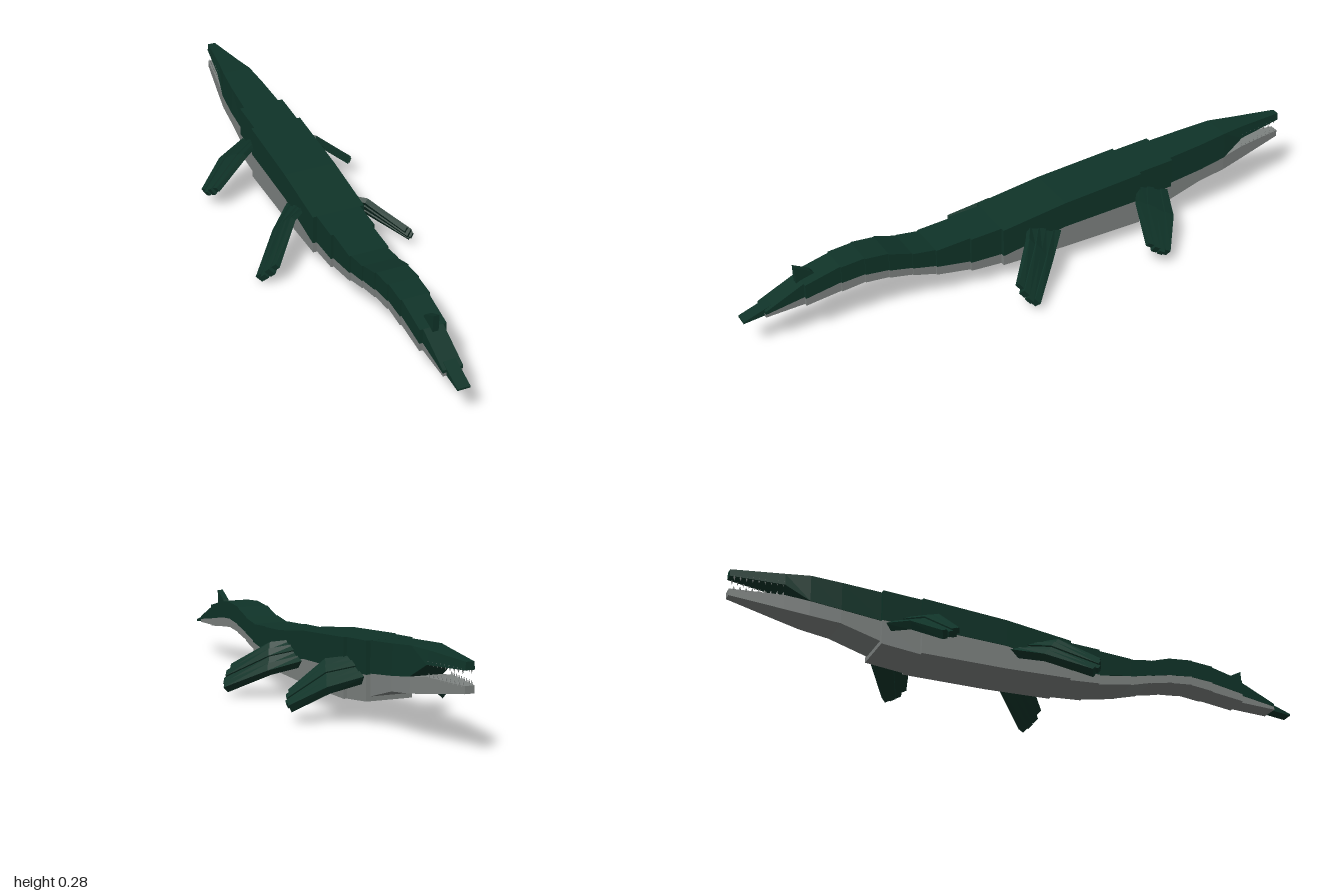
import * as THREE from 'three';

const green = new THREE.MeshStandardMaterial({ color: 0x0f3328, flatShading: true });
green.name = 'dark green skin';
const grey = new THREE.MeshStandardMaterial({ color: 0x7d8280, flatShading: true });
grey.name = 'grey belly';

// Six-sided block between two four-cornered rings, always wound outward
function block(a, b) {
  const quads = [[b[0], b[1], b[2], b[3]], [a[3], a[2], a[1], a[0]]];
  for (let i = 0; i < 4; i++) {
    const j = (i + 1) % 4;
    quads.push([a[i], a[j], b[j], b[i]]);
  }
  const tris = quads.flatMap(([p, q, r, s]) => [[p, q, r], [p, r, s]])
    .map(t => t.map(p => new THREE.Vector3(...p)));
  const mid = new THREE.Vector3();
  [...a, ...b].forEach(p => mid.add(new THREE.Vector3(...p)));
  mid.divideScalar(8);
  let volume = 0;
  for (const [p, q, r] of tris) {
    volume += p.clone().sub(mid).dot(q.clone().sub(mid).cross(r.clone().sub(mid)));
  }
  if (volume < 0) tris.forEach(t => t.reverse());
  const geo = new THREE.BufferGeometry().setFromPoints(tris.flat());
  geo.computeVertexNormals();
  return geo;
}

// Ring across the body: bottom and top height, bottom and top half width
const ring = (z, y0, y1, w, wTop = w) => [[-w, y0, z], [w, y0, z], [wTop, y1, z], [-wTop, y1, z]];

function add(parent, name, geo, mat) {
  const mesh = new THREE.Mesh(geo, mat);
  mesh.name = name;
  parent.add(mesh);
  return mesh;
}

// Flipper of four ridged strips between a leading and a trailing edge
function flipper(name, lead, trail, side, drop = 0) {
  const group = new THREE.Group();
  group.name = name;
  const n = 4;
  const at = (i, u, offset, reach) => {
    const p = new THREE.Vector3(...lead[i]).lerp(new THREE.Vector3(...trail[i]), u);
    if (i === 2) {
      const inner = new THREE.Vector3(...lead[1]).lerp(new THREE.Vector3(...trail[1]), u);
      p.lerp(inner, reach);
      p.y -= drop;
      p.z += drop * 0.7;
    }
    // Thickness runs square to the blade
    const across = new THREE.Vector3(...trail[i]).sub(new THREE.Vector3(...lead[i]));
    const along = new THREE.Vector3(...lead[2]).sub(new THREE.Vector3(...lead[0]));
    const normal = along.cross(across).normalize();
    if (normal.y < 0) normal.negate();
    p.addScaledVector(normal, offset);
    return [p.x * side, p.y, p.z];
  };
  for (let k = 0; k < n; k++) {
    const u0 = k / n, u1 = (k + 1) / n;
    const h = k % 2 ? 0.009 : 0.014;
    const reach = [0.05, 0, 0.04, 0.1][k];
    const section = i => [at(i, u0, -h, reach), at(i, u1, -h, reach), at(i, u1, h, reach), at(i, u0, h, reach)];
    const s = [0, 1, 2].map(section);
    add(group, 'flipperBase', block(s[0], s[1]), green);
    add(group, 'flipperFinger', block(s[1], s[2]), green);
  }
  return group;
}

export function createModel() {
  const model = new THREE.Group();
  model.name = 'marineReptile';

  // Trunk and tail stations: z, top, colour split, bottom, half width of the next segment
  const stations = [
    [-0.52, 0.274, 0.17, 0.088, 0.079],
    [-0.39, 0.267, 0.165, 0.075, 0.09],
    [-0.1, 0.247, 0.155, 0.075, 0.09],
    [0.13, 0.217, 0.118, 0.082, 0.076],
    [0.24, 0.212, 0.122, 0.09, 0.067],
    [0.36, 0.205, 0.143, 0.112, 0.061],
    [0.44, 0.217, 0.162, 0.135, 0.057],
    [0.52, 0.242, 0.18, 0.152, 0.053],
    [0.6, 0.25, 0.19, 0.16, 0.049],
    [0.68, 0.244, 0.185, 0.152, 0.044],
    [0.8, 0.215, 0.165, 0.138, 0.033],
    [0.93, 0.155, 0.145, 0.134, 0],
  ];
  const body = new THREE.Group();
  body.name = 'body';
  model.add(body);
  for (let i = 0; i < stations.length - 1; i++) {
    const [z0, t0, s0, b0, w] = stations[i];
    const [z1, t1, s1, b1] = stations[i + 1];
    add(body, 'backSegment', block(ring(z0, s0, t0, w), ring(z1, s1, t1, w)), green);
    const g = w - 0.001;
    add(body, 'bellySegment', block(ring(z0, b0, s0, g), ring(z1, b1, s1, g)), grey);
  }

  // Tail tip and upright fin
  add(model, 'tailTip', block(ring(0.86, 0.142, 0.182, 0.021), ring(1, 0.128, 0.134, 0.021)), green);
  const finRing = x => [[x, 0.2, 0.73], [x, 0.2, 0.815], [x, 0.266, 0.817], [x, 0.238, 0.765]];
  add(model, 'tailFin', block(finRing(-0.01), finRing(0.01)), green);

  // Head, from the neck to the snout
  const head = new THREE.Group();
  head.name = 'head';
  model.add(head);
  const skull = [
    ring(-1, 0.255, 0.279, 0.016, 0.013),
    ring(-0.83, 0.246, 0.288, 0.043, 0.036),
    ring(-0.75, 0.2, 0.291, 0.056, 0.05),
    ring(-0.65, 0.187, 0.283, 0.063, 0.058),
    ring(-0.51, 0.172, 0.273, 0.066, 0.064),
  ];
  const jaw = [
    ring(-1, 0.188, 0.211, 0.015),
    ring(-0.83, 0.162, 0.211, 0.042),
    ring(-0.75, 0.15, 0.2, 0.054),
    ring(-0.65, 0.14, 0.187, 0.061),
    ring(-0.51, 0.1, 0.172, 0.064),
  ];
  for (let i = 0; i < 4; i++) {
    add(head, 'skull', block(skull[i], skull[i + 1]), green);
    add(head, 'lowerJaw', block(jaw[i], jaw[i + 1]), grey);
  }

  // Teeth along both jaws
  const tooth = new THREE.ConeGeometry(0.005, 0.016, 4);
  for (let i = 0; i < 9; i++) {
    const z = -0.985 + i * 0.019;
    const x = 0.012 + (z + 1) * 0.15;
    for (const side of [-1, 1]) {
      add(head, 'lowerTooth', tooth, grey).position.set(side * x, 0.216, z);
      const upper = add(head, 'upperTooth', tooth, grey);
      upper.position.set(side * x, 0.25, z);
      upper.rotation.x = Math.PI;
    }
  }

  // Two pairs of flippers
  const frontLead = [[0.06, 0.155, -0.505], [0.175, 0.12, -0.46], [0.275, 0.055, -0.385]];
  const frontTrail = [[0.06, 0.205, -0.4], [0.13, 0.192, -0.35], [0.255, 0.088, -0.32]];
  const rearLead = [[0.06, 0.145, -0.1], [0.165, 0.1, 0], [0.28, 0.03, 0.115]];
  const rearTrail = [[0.06, 0.195, 0.02], [0.13, 0.185, 0.065], [0.24, 0.095, 0.17]];
  for (const side of [1, -1]) {
    const label = side > 0 ? 'left' : 'right';
    model.add(flipper(label + 'FrontFlipper', frontLead, frontTrail, side));
    model.add(flipper(label + 'RearFlipper', rearLead, rearTrail, side, side < 0 ? 0.012 : 0));
  }
  return model;
}
